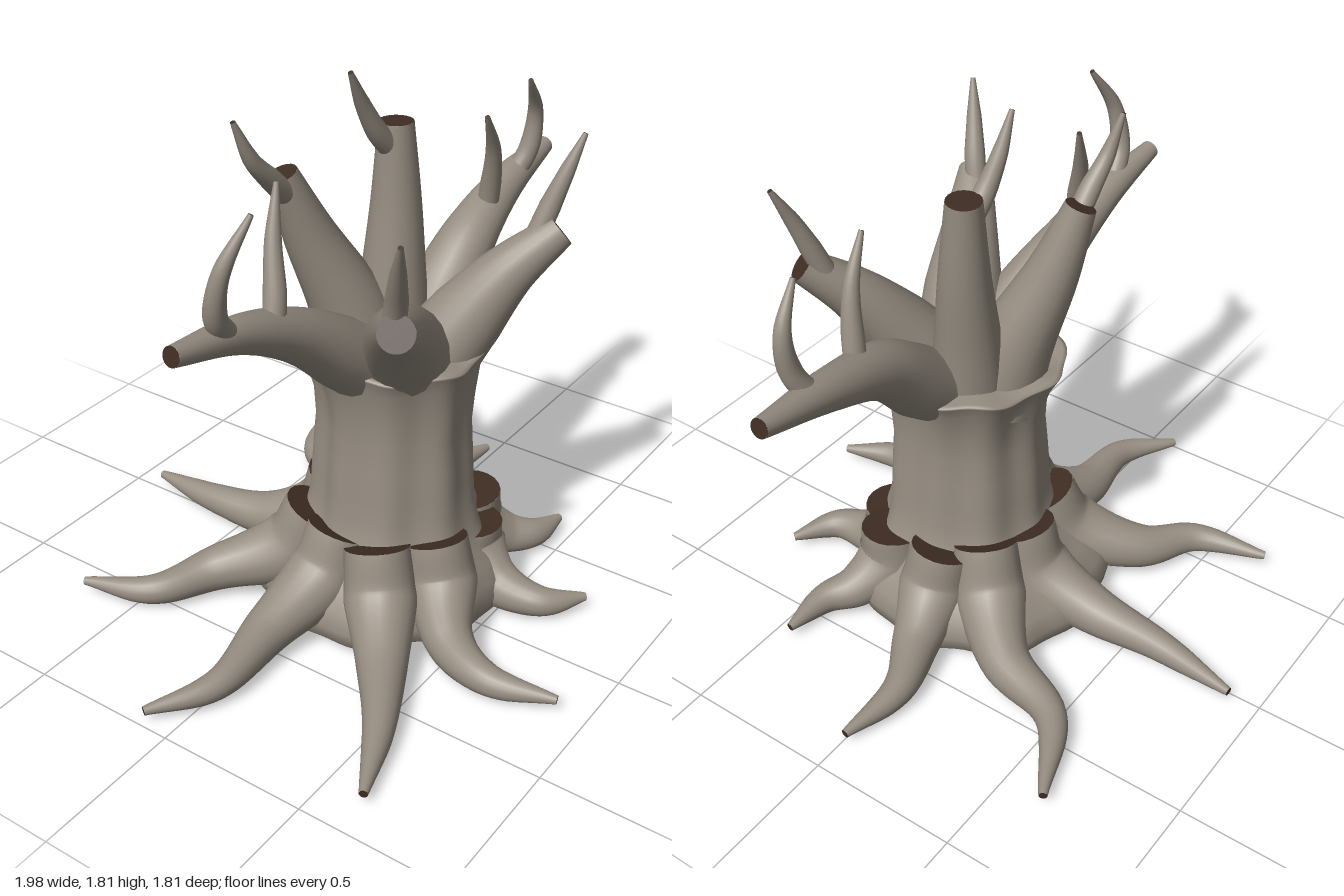
import * as THREE from 'three';
import { mergeVertices } from 'three/addons/utils/BufferGeometryUtils.js';

const bark = new THREE.MeshStandardMaterial({ color: 0x978e82 });
bark.name = 'bark';
const cutWood = new THREE.MeshStandardMaterial({ color: 0x3f2d23 });
cutWood.name = 'cutWood';

const V = (p) => new THREE.Vector3(...p);

// Disc closing one end of a limb
function capMesh(name, centre, normal, radius) {
  const cap = new THREE.Mesh(new THREE.CircleGeometry(radius, 20), cutWood);
  cap.name = name;
  cap.position.copy(centre);
  cap.quaternion.setFromUnitVectors(new THREE.Vector3(0, 0, 1), normal);
  return cap;
}

// Tapered tube along a smooth curve, with radii spread evenly along its length
function limb(name, points, radii, capStart = false) {
  const group = new THREE.Group();
  group.name = name;
  const curve = new THREE.CatmullRomCurve3(points.map(V));
  const segments = 36, sides = 20;
  const geo = new THREE.TubeGeometry(curve, segments, 1, sides);
  const pos = geo.attributes.position, nor = geo.attributes.normal;
  for (let i = 0; i <= segments; i++) {
    const u = i / segments, f = u * (radii.length - 1);
    const k = Math.min(Math.floor(f), radii.length - 2);
    const r = THREE.MathUtils.lerp(radii[k], radii[k + 1], f - k);
    const c = curve.getPointAt(u);
    for (let j = 0; j <= sides; j++) {
      const n = i * (sides + 1) + j;
      pos.setXYZ(n, c.x + nor.getX(n) * r, c.y + nor.getY(n) * r, c.z + nor.getZ(n) * r);
    }
  }
  const mesh = new THREE.Mesh(geo, bark);
  mesh.name = name + 'Bark';
  group.add(mesh);
  group.add(capMesh(name + 'End', curve.getPointAt(1), curve.getTangentAt(1), radii[radii.length - 1]));
  if (capStart) group.add(capMesh(name + 'Top', curve.getPointAt(0), curve.getTangentAt(0).negate(), radii[0]));
  return group;
}

// Rippled trunk with a bulging lobed foot and a wavy rim
function trunk() {
  const profile = [[0, 0.06], [0.2, 0.045], [0.32, 0.02], [0.37, 0.015], [0.405, 0.04], [0.415, 0.09], [0.4, 0.15],
    [0.355, 0.21], [0.305, 0.27], [0.275, 0.34], [0.26, 0.42], [0.256, 0.5], [0.25, 0.6], [0.243, 0.7], [0.25, 0.8],
    [0.27, 0.9], [0.294, 0.95], [0.298, 0.96], [0.285, 0.962], [0.2, 0.96], [0, 0.97]];
  let geo = new THREE.LatheGeometry(profile.map(([x, y]) => new THREE.Vector2(x, y)), 96);
  geo.deleteAttribute('uv');
  geo.deleteAttribute('normal');
  geo = mergeVertices(geo, 1e-4);
  const pos = geo.attributes.position;
  for (let i = 0; i < pos.count; i++) {
    const x = pos.getX(i), y = pos.getY(i), z = pos.getZ(i);
    const a = Math.atan2(z, x);
    const ripple = 1 + 0.028 * Math.cos(9 * a + 1 + y) + 0.02 * Math.sin(5 * a - 2 * y);
    const rim = y > 0.9 && Math.hypot(x, z) > 0.15 ? 0.006 * Math.sin(7 * a) : 0;
    const lean = 0.135 - 0.05 * (1 - THREE.MathUtils.smoothstep(y, 0.08, 0.35)) - 0.015 * THREE.MathUtils.smoothstep(y, 0.8, 0.96);
    pos.setXYZ(i, 0.02 + x * ripple, y + rim, lean + z * ripple * 1.02);
  }
  geo.computeVertexNormals();
  const mesh = new THREE.Mesh(geo, bark);
  mesh.name = 'trunk';
  return mesh;
}

// Roots: cap height, then x,z points running out to the tip
const ROOTS = [
  ['backRoot', 0.36, [[0.04, -0.1], [0.04, -0.15], [0.01, -0.36], [0.0, -0.62], [0.03, -0.9]]],
  ['backRightRoot', 0.35, [[-0.16, -0.05], [-0.2, -0.11], [-0.35, -0.33], [-0.53, -0.45], [-0.61, -0.69]]],
  ['backLeftRoot', 0.365, [[0.185, -0.05], [0.23, -0.1], [0.37, -0.26], [0.46, -0.5], [0.72, -0.65]]],
  ['leftRoot', 0.345, [[0.27, 0.06], [0.31, 0.07], [0.46, 0.03], [0.65, -0.04], [0.88, -0.01]]],
  ['frontLeftRoot', 0.315, [[0.26, 0.28], [0.27, 0.28], [0.38, 0.35], [0.47, 0.42], [0.63, 0.44]]],
  ['frontRoot', 0.295, [[0.14, 0.36], [0.14, 0.36], [0.13, 0.47], [0.15, 0.63], [0.28, 0.73]]],
  ['frontCurledRoot', 0.35, [[-0.08, 0.36], [-0.1, 0.4], [-0.22, 0.51], [-0.28, 0.68], [-0.22, 0.9]]],
  ['frontRightRoot', 0.355, [[-0.23, 0.24], [-0.27, 0.28], [-0.42, 0.39], [-0.64, 0.53], [-0.88, 0.64]]],
  ['rightRoot', 0.345, [[-0.21, 0.08], [-0.27, 0.06], [-0.5, 0.01], [-0.78, 0.02], [-0.98, -0.1]]],
];

// Branches: curve points and radii
const BRANCHES = [
  ['leftBranch', [[0.1, 0.86, 0.13], [0.27, 0.99, 0.13], [0.45, 1.14, 0.13], [0.7, 1.23, 0.11], [0.99, 1.28, 0.1]], [0.115, 0.115, 0.085, 0.06, 0.031]],
  ['rightBranch', [[-0.06, 0.86, 0.13], [-0.24, 1.02, 0.11], [-0.42, 1.15, 0.08], [-0.65, 1.25, 0.06], [-0.92, 1.3, 0.05]], [0.115, 0.112, 0.08, 0.055, 0.031]],
  ['frontRightBranch', [[-0.03, 0.91, 0.2], [-0.14, 1.045, 0.27], [-0.3, 1.18, 0.36], [-0.47, 1.295, 0.46]], [0.15, 0.128, 0.09, 0.055]],
  ['frontLeftBranch', [[0.06, 0.9, 0.24], [0.13, 1.03, 0.31], [0.23, 1.185, 0.405], [0.345, 1.31, 0.515]], [0.14, 0.12, 0.085, 0.055]],
  ['uprightBranch', [[0.11, 0.85, 0.06], [0.13, 1.1, 0.05], [0.155, 1.35, 0.04], [0.165, 1.612, 0.03]], [0.13, 0.105, 0.08, 0.056]],
  ['backBranch', [[0.03, 0.85, 0.02], [-0.01, 1.05, -0.03], [-0.09, 1.29, -0.11], [-0.16, 1.505, -0.16]], [0.15, 0.12, 0.085, 0.05]],
];

// Twigs: base, bend and tip
const TWIGS = [
  [[0.55, 1.17, 0.13], [0.54, 1.28, 0.15], [0.5, 1.44, 0.18], [0.42, 1.58, 0.2]],
  [[0.76, 1.24, 0.11], [0.81, 1.34, 0.14], [0.82, 1.47, 0.15], [0.74, 1.6, 0.17]],
  [[-0.69, 1.26, 0.06], [-0.77, 1.36, 0.08], [-0.775, 1.5, 0.11], [-0.69, 1.65, 0.15]],
  [[-0.53, 1.18, 0.08], [-0.5, 1.29, 0.07], [-0.45, 1.45, 0.03], [-0.39, 1.6, 0.0]],
  [[-0.41, 1.27, 0.41], [-0.435, 1.36, 0.435], [-0.48, 1.47, 0.47], [-0.53, 1.59, 0.51]],
  [[0.3, 1.27, 0.45], [0.335, 1.37, 0.475], [0.375, 1.48, 0.505], [0.43, 1.6, 0.535]],
  [[0.16, 1.51, 0.03], [0.08, 1.6, 0.02], [0.02, 1.7, 0.01], [-0.045, 1.82, 0.01]],
  [[-0.15, 1.43, -0.14], [-0.24, 1.52, -0.14], [-0.31, 1.6, -0.15], [-0.365, 1.73, -0.17]],
];

export function createModel() {
  const model = new THREE.Group();
  model.name = 'tree';
  model.add(trunk());
  const rootHeights = [0, 0.21, 0.1, 0.07, 0.05];
  for (const [name, top, path] of ROOTS) {
    const points = path.map(([x, z], i) => [x, i ? rootHeights[i] : top, z]);
    model.add(limb(name, points, [0.106, 0.118, 0.086, 0.062, 0.042, 0.014], true));
  }
  for (const [name, points, radii] of BRANCHES) model.add(limb(name, points, radii));
  TWIGS.forEach((points, i) => model.add(limb('twig' + (i + 1), points, [0.036, 0.034, 0.024, 0.008])));
  return model;
}
